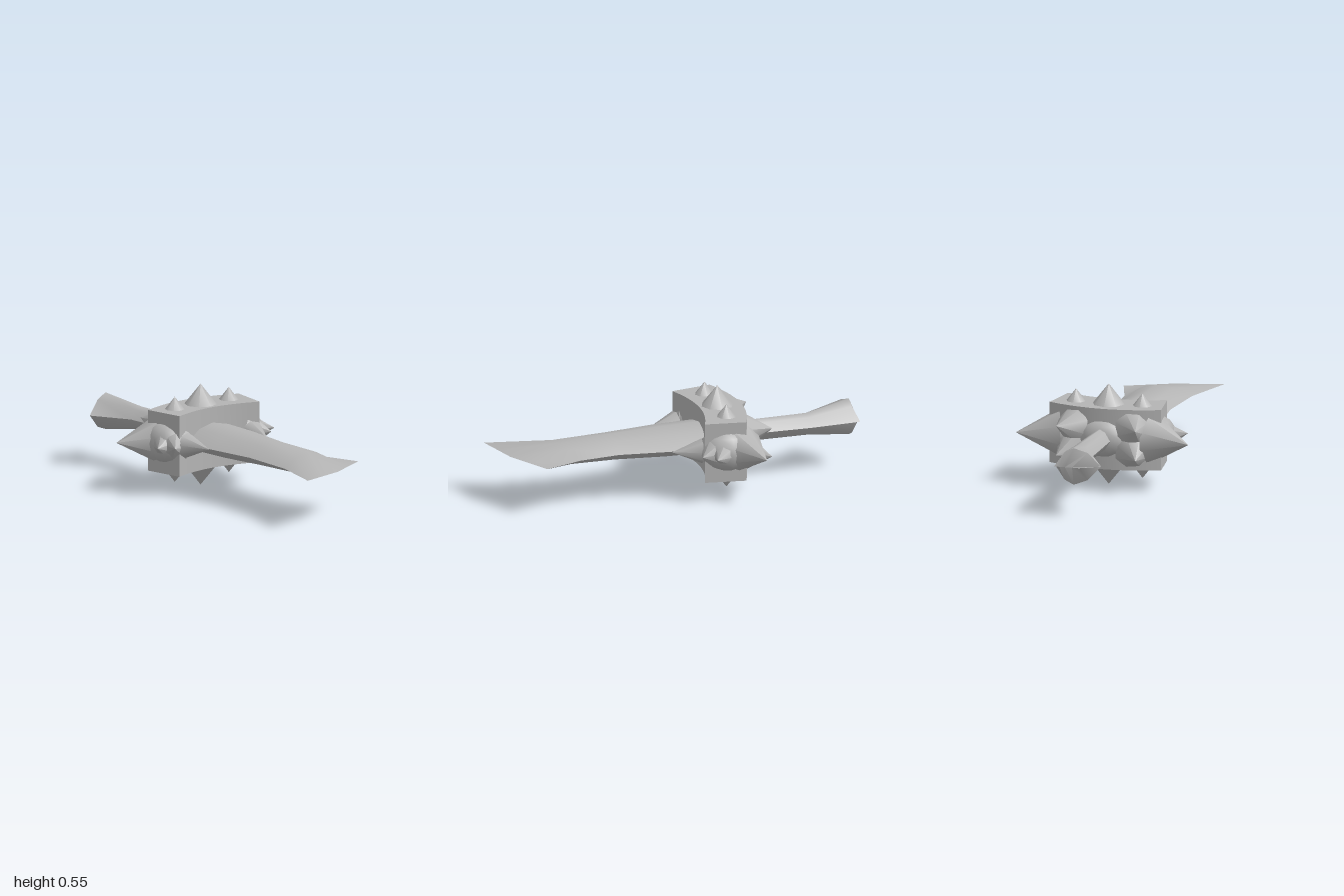
import * as THREE from 'three';
import { toCreasedNormals } from 'three/addons/utils/BufferGeometryUtils.js';

const MID = 0.28; // height of the sword's centre plane

// Skin over lens-shaped sections. Each row: [leftX, leftZ, midX, midZ, halfHeight, rightX, rightZ]
function loft(rows, shoulder) {
  const pos = [], idx = [], n = 8;
  for (const [lx, lz, mx, mz, h, rx, rz] of rows) {
    const half = (a, b) => (a + b) / 2;
    const ring = [
      [lx, 0, lz],
      [half(lx, mx), h * shoulder, half(lz, mz)],
      [mx, h, mz],
      [half(rx, mx), h * shoulder, half(rz, mz)],
      [rx, 0, rz],
      [half(rx, mx), -h * shoulder, half(rz, mz)],
      [mx, -h, mz],
      [half(lx, mx), -h * shoulder, half(lz, mz)],
    ];
    for (const [x, y, z] of ring) pos.push(x, y + MID, z);
  }
  for (let i = 0; i < rows.length - 1; i++) {
    for (let j = 0; j < n; j++) {
      const a = i * n + j, b = i * n + (j + 1) % n;
      idx.push(a, a + n, b, b, a + n, b + n);
    }
  }
  const g = new THREE.BufferGeometry();
  g.setAttribute('position', new THREE.Float32BufferAttribute(pos, 3));
  g.setIndex(idx);
  return toCreasedNormals(g, 0.9);
}

export function createModel() {
  const group = new THREE.Group();
  const steel = new THREE.MeshStandardMaterial({ color: 0xb4b4b4 });
  steel.name = 'grey steel';

  const add = (name, geometry) => {
    const mesh = new THREE.Mesh(geometry, steel);
    mesh.name = name;
    group.add(mesh);
    return mesh;
  };

  // Cone from a base point to a tip
  const spike = (name, base, tip, radius, sides = 8) => {
    const from = new THREE.Vector3(...base), to = new THREE.Vector3(...tip);
    const dir = to.clone().sub(from), length = dir.length();
    const mesh = add(name, new THREE.ConeGeometry(radius, length, sides));
    mesh.position.copy(from).add(to).multiplyScalar(0.5);
    mesh.quaternion.setFromUnitVectors(new THREE.Vector3(0, 1, 0), dir.normalize());
  };

  // Blade with a slanted, flaring end
  add('blade', loft([
    [-0.2, -0.2, 0, -0.2, 0.082, 0.2, -0.2],
    [-0.19, 0.1, 0, 0.1, 0.078, 0.19, 0.1],
    [-0.155, 0.38, 0, 0.38, 0.068, 0.15, 0.38],
    [-0.175, 0.7, 0.02, 0.66, 0.055, 0.17, 0.6],
    [-0.26, 1, 0, 0.935, 0, 0.24, 0.81],
  ], 0.75));

  // Grip with a hooked pommel
  add('grip', loft([
    [-0.08, -1, 0, -1, 0, 0.06, -1],
    [-0.18, -0.93, -0.04, -0.97, 0.1, 0.062, -0.97],
    [-0.07, -0.72, 0, -0.72, 0.062, 0.07, -0.72],
    [-0.06, -0.4, 0, -0.4, 0.06, 0.06, -0.4],
    [-0.08, -0.3, 0, -0.3, 0.07, 0.08, -0.3],
  ], 0.75));

  // Guard block, bowed towards the grip
  const outline = new THREE.Shape();
  outline.moveTo(-0.275, 0.06);
  outline.quadraticCurveTo(0, 0.175, 0.275, 0.06);
  outline.lineTo(0.31, 0.28);
  outline.quadraticCurveTo(0, 0.415, -0.31, 0.28);
  outline.closePath();
  const block = new THREE.ExtrudeGeometry(outline, { depth: 0.33, bevelEnabled: false, curveSegments: 10 });
  block.rotateX(-Math.PI / 2).translate(0, 0.115, 0);
  add('guard', toCreasedNormals(block, 0.7));

  // Studs above and below the guard
  for (const up of [1, -1]) {
    const y = (d) => MID + up * d;
    spike('centreStud', [0, y(0.155), -0.22], [0, y(0.275), -0.22], 0.095);
    for (const x of [-0.185, 0.185]) {
      spike('sideStud', [x, y(0.155), -0.21], [x, y(0.232), -0.21], 0.06);
    }
  }

  for (const s of [1, -1]) {
    // Swollen end of the guard
    const bulge = add('guardEnd', new THREE.SphereGeometry(1, 10, 8));
    bulge.scale.set(0.11, 0.115, 0.15);
    bulge.position.set(s * 0.25, MID, -0.2);

    // Thorns fanning around the end
    spike('sideHorn', [s * 0.26, MID, -0.265], [s * 0.48, MID, -0.34], 0.13);
    spike('upperThorn', [s * 0.28, MID, -0.17], [s * 0.4, MID, -0.09], 0.085);
    spike('middleThorn', [s * 0.26, MID, -0.12], [s * 0.33, MID, -0.03], 0.1);
    spike('frontThorn', [s * 0.225, MID, -0.06], [s * 0.2, MID, 0.1], 0.068);

    // Paired thorns on the grip side
    for (const up of [1, -1]) {
      spike('backThorn', [s * 0.165, MID + up * 0.06, -0.32], [s * 0.22, MID + up * 0.08, -0.455], 0.1);
    }
  }

  // Collar where the grip enters the guard
  const collar = add('collar', new THREE.SphereGeometry(1, 12, 8));
  collar.scale.set(0.13, 0.1, 0.07);
  collar.position.set(0, MID, -0.33);

  return group;
}
